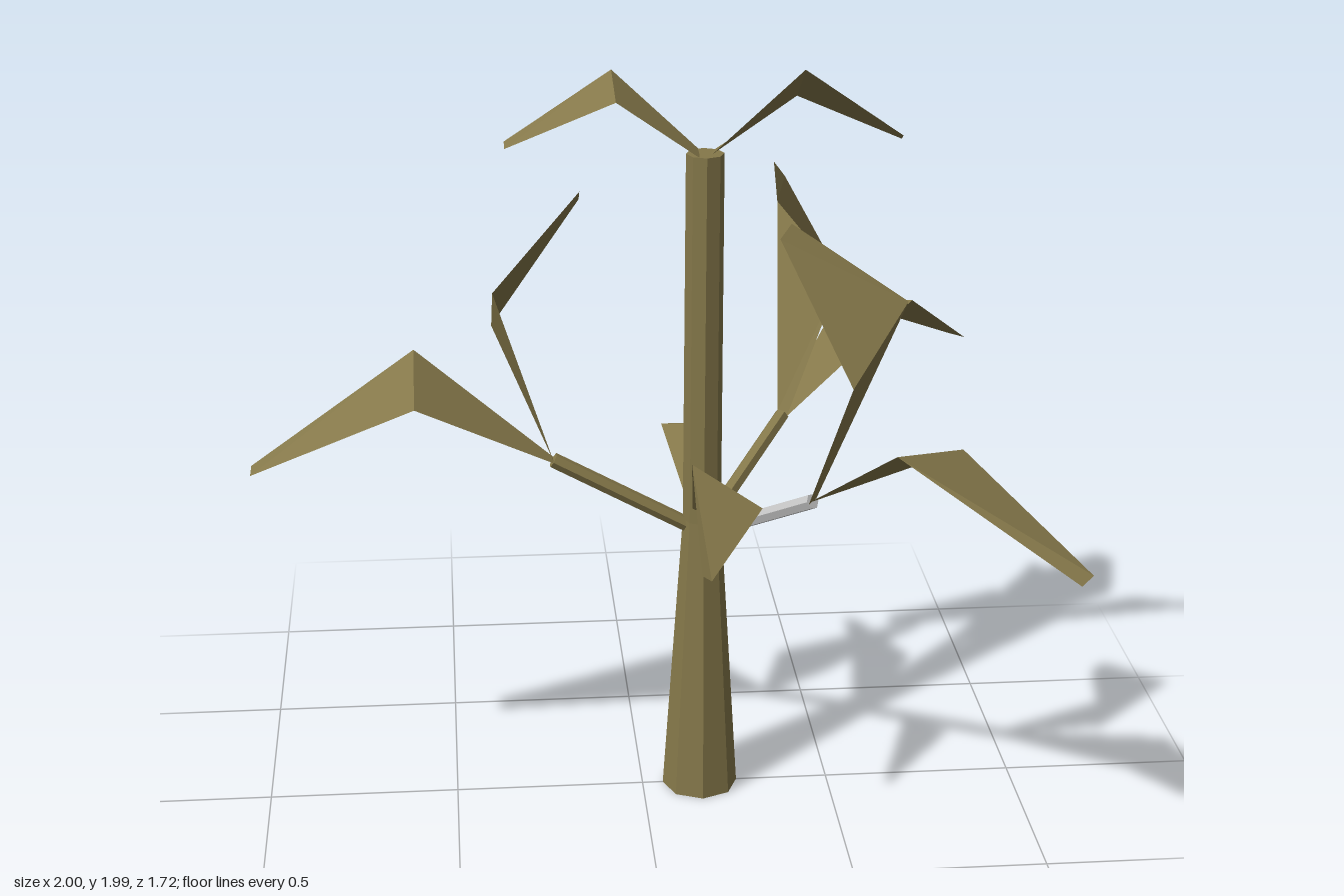
import * as THREE from 'three';

const brown = new THREE.MeshStandardMaterial({ name: 'brown', color: 0x85784a, flatShading: true });
const leafBrown = brown; // leaves share the trunk colour
leafBrown.side = THREE.DoubleSide;
const grey = new THREE.MeshStandardMaterial({ name: 'paleGrey', color: 0xc4c4c4, flatShading: true });

const TRUNK_X = 0.155;

// A folded blade: three edges (base, fold, tip), each a pair of points
function makeLeaf(name, base, baseWidth, foldA, foldB, tipA, tipB) {
  const v = (p) => new THREE.Vector3(...p);
  const across = v(foldB).sub(v(foldA)).setLength(baseWidth / 2);
  across.y *= 0.3;
  const rows = [
    [v(base).sub(across), v(base).add(across)],
    [v(foldA), v(foldB)],
    [v(tipA), v(tipB)],
  ];
  const pts = [];
  for (let i = 0; i < 2; i++) {
    const [a, b] = rows[i], [c, d] = rows[i + 1];
    pts.push(a, b, d, a, d, c);
  }
  const geo = new THREE.BufferGeometry().setFromPoints(pts);
  geo.computeVertexNormals();
  const mesh = new THREE.Mesh(geo, leafBrown);
  mesh.name = name;
  return mesh;
}

// Straight six-sided branch between two points
function makeBranch(name, from, to, material) {
  const a = new THREE.Vector3(...from), b = new THREE.Vector3(...to);
  const dir = b.clone().sub(a);
  const mesh = new THREE.Mesh(new THREE.CylinderGeometry(0.02, 0.02, dir.length(), 6), material);
  mesh.position.copy(a).add(b).multiplyScalar(0.5);
  mesh.quaternion.setFromUnitVectors(new THREE.Vector3(0, 1, 0), dir.normalize());
  mesh.name = name;
  return mesh;
}

function makeTrunk(name, rTop, rBottom, y0, y1) {
  const mesh = new THREE.Mesh(new THREE.CylinderGeometry(rTop, rBottom, y1 - y0, 8), brown);
  mesh.position.set(TRUNK_X, (y0 + y1) / 2, 0);
  mesh.name = name;
  return mesh;
}

export function createModel() {
  const tree = new THREE.Group();
  tree.name = 'tree';

  // Trunk: flared foot and straight upper stem
  tree.add(makeTrunk('lowerTrunk', 0.05, 0.1, 0, 0.78));
  tree.add(makeTrunk('upperTrunk', 0.048, 0.05, 0.78, 1.76));

  // Three rising branches
  const ends = { right: [-0.23, 0.955, 0], front: [0.4, 0.945, 0.295], back: [0.4, 0.945, -0.295] };
  tree.add(makeBranch('rightBranch', [0.14, 0.75, 0], ends.right, brown));
  tree.add(makeBranch('frontBranch', [0.17, 0.75, 0.02], ends.front, grey));
  tree.add(makeBranch('backBranch', [0.17, 0.75, -0.02], ends.back, brown));

  // name, base, base width, fold corners, tip corners
  const leaves = [
    // Drooping outer leaves
    ['rightDroopLeaf', ends.right, 0.04, [-0.58, 1.21, -0.155], [-0.58, 1.145, 0.11], [-1, 0.96, -0.01], [-1, 0.955, 0.045]],
    ['frontDroopLeaf', ends.front, 0.04, [0.54, 1.21, 0.66], [0.735, 1.145, 0.47], [0.945, 0.955, 0.855], [0.98, 0.965, 0.82]],
    ['backDroopLeaf', ends.back, 0.04, [0.77, 1.21, -0.44], [0.6, 1.145, -0.645], [1, 0.96, -0.82], [0.96, 0.96, -0.86]],
    // Upright inner leaves
    ['rightUprightLeaf', ends.right, 0.04, [-0.38, 1.465, 0.16], [-0.38, 1.3, -0.07], [-0.155, 1.66, -0.03], [-0.155, 1.63, -0.065]],
    ['frontUprightLeaf', ends.front, 0.04, [0.62, 1.465, 0.3], [0.465, 1.305, 0.465], [0.335, 1.66, 0.275], [0.305, 1.63, 0.3]],
    ['backUprightLeaf', ends.back, 0.04, [0.41, 1.465, -0.55], [0.56, 1.305, -0.37], [0.36, 1.66, -0.26], [0.385, 1.63, -0.23]],
    // Crown leaves
    ['rightCrownLeaf', [0.14, 1.76, 0], 0.08, [-0.07, 1.95, -0.1], [-0.07, 1.91, 0.07], [-0.34, 1.795, -0.02], [-0.34, 1.79, 0.03]],
    ['leftCrownLeaf', [0.17, 1.76, 0], 0.08, [0.385, 1.99, 0.1], [0.385, 1.89, -0.04], [0.65, 1.79, -0.015], [0.65, 1.775, -0.04]],
    // Low leaves at the fork
    ['frontLowLeaf', [0.16, 0.81, 0.04], 0.08, [0.107, 1.02, 0.215], [0.28, 0.915, 0.26], [0.107, 0.84, 0.485], [0.13, 0.825, 0.485]],
    ['backLowLeaf', [0.155, 0.81, -0.04], 0.08, [0.07, 0.945, -0.255], [0.22, 0.97, -0.18], [0.15, 0.84, -0.515], [0.18, 0.845, -0.505]],
  ];
  for (const leaf of leaves) tree.add(makeLeaf(...leaf));

  return tree;
}
